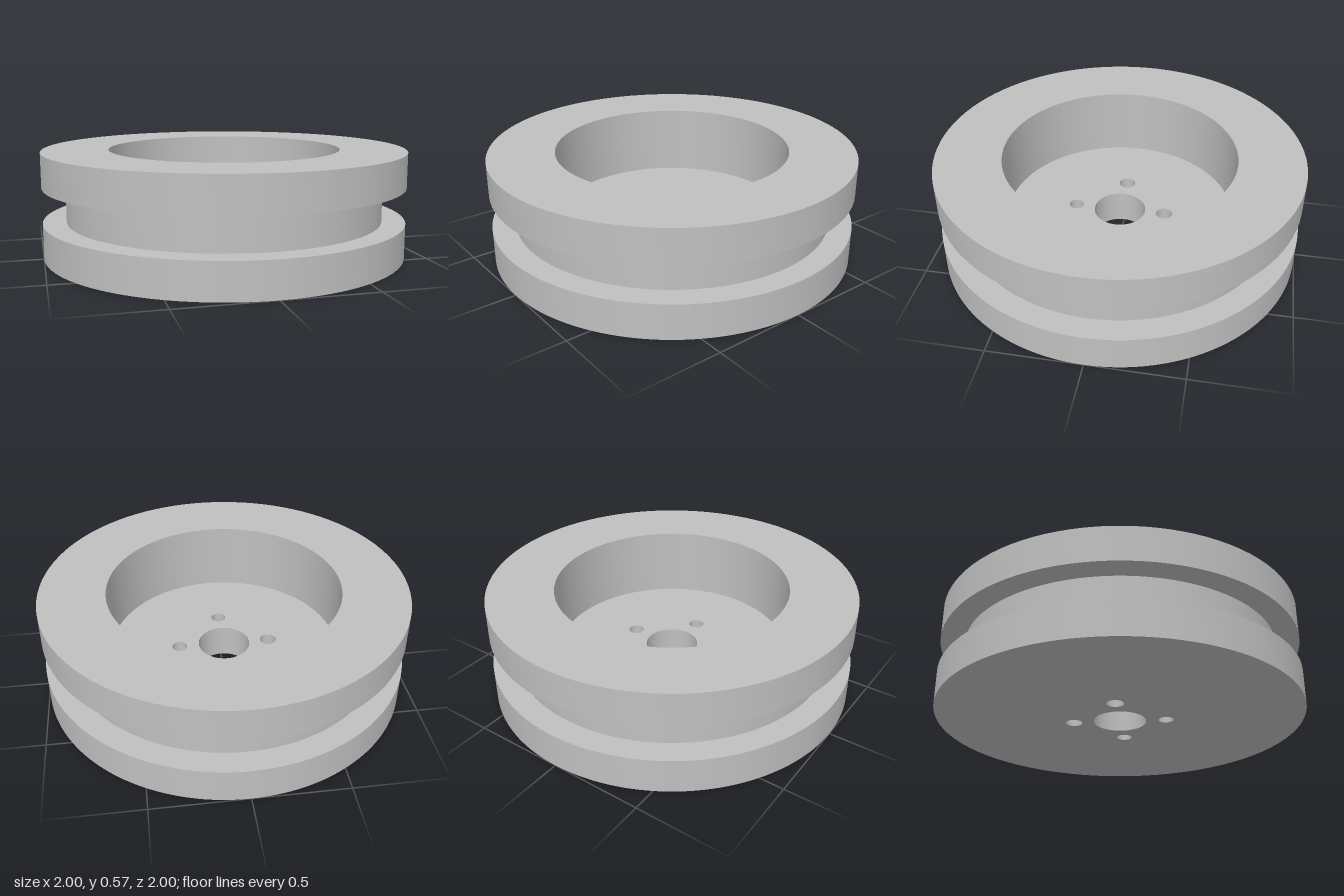
import * as THREE from 'three';
import { toCreasedNormals } from 'three/addons/utils/BufferGeometryUtils.js';

const SEGMENTS = 96;
const BASE_TOP = 0.19, GROOVE_TOP = 0.385, TOP = 0.575;
const OUTER = 1, GROOVE = 0.873, RECESS = 0.637;

export function createModel() {
  const model = new THREE.Group();
  model.name = 'groovedPulley';
  const metal = new THREE.MeshStandardMaterial({ color: 0xc0c0c0 });
  metal.name = 'greyMetal';

  const addPart = (name, geometry) => {
    const mesh = new THREE.Mesh(toCreasedNormals(geometry, Math.PI / 6), metal);
    mesh.name = name;
    model.add(mesh);
  };

  // Lower flange: a disc with a centre bore and four bolt holes
  const disc = new THREE.Shape().absarc(0, 0, OUTER, 0, Math.PI * 2, false);
  const holes = [ // x, z, radius
    [0, 0, 0.144],
    [0.254, 0, 0.042],
    [-0.254, 0, 0.046],
    [0, 0.252, 0.041],
    [0, -0.254, 0.046],
  ];
  for (const [x, z, r] of holes) {
    disc.holes.push(new THREE.Path().absarc(x, -z, r, 0, Math.PI * 2, true));
  }
  const base = new THREE.ExtrudeGeometry(disc, {
    depth: BASE_TOP, bevelEnabled: false, curveSegments: SEGMENTS,
  });
  base.rotateX(-Math.PI / 2);
  addPart('lowerFlange', base);

  // Groove wall, upper flange and recess wall, standing on the lower flange
  const profile = [
    [GROOVE, BASE_TOP], [GROOVE, GROOVE_TOP], [OUTER, GROOVE_TOP],
    [OUTER, TOP], [RECESS, TOP], [RECESS, BASE_TOP],
  ].map(([r, y]) => new THREE.Vector2(r, y));
  addPart('grooveAndUpperFlange', new THREE.LatheGeometry(profile, SEGMENTS));

  return model;
}
